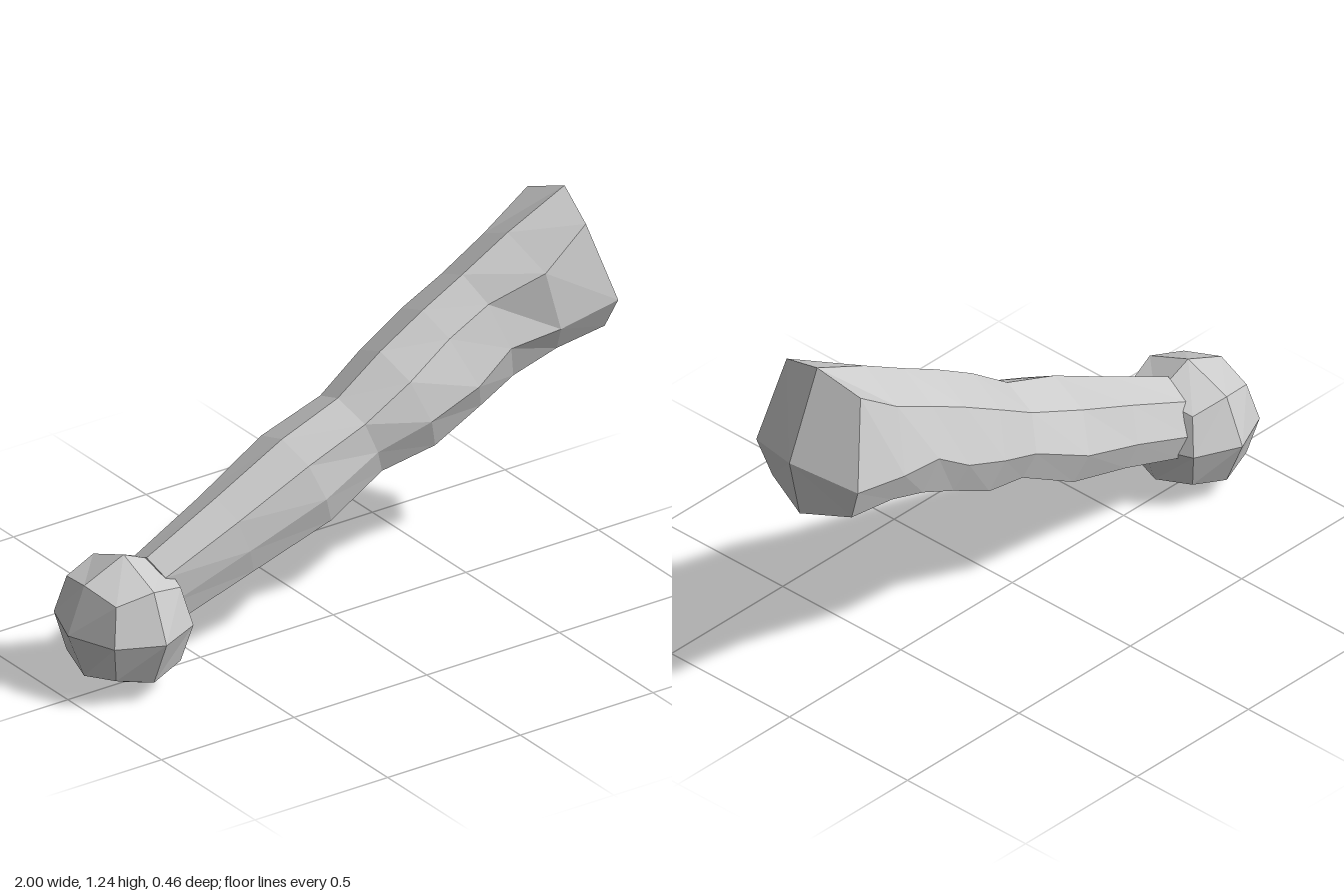
import * as THREE from 'three';

const material = new THREE.MeshStandardMaterial({ color: 0xcccccc, flatShading: true });

// Stations from grip to head:
// top x, top y, bottom x, bottom y, front width, back width, upper front width, side height fraction
const stations = [
  [-0.71, 0.41, -0.62, 0.165, 0.09, 0.13, 0.09, 0.55],
  [-0.45, 0.54, -0.36, 0.265, 0.125, 0.155, 0.11, 0.55],
  [-0.2, 0.67, -0.08, 0.365, 0.155, 0.2, 0.125, 0.55],
  [0.01, 0.75, 0.12, 0.475, 0.14, 0.17, 0.13, 0.55],
  [0.17, 0.865, 0.3, 0.515, 0.185, 0.2, 0.14, 0.55],
  [0.33, 0.96, 0.47, 0.605, 0.195, 0.21, 0.12, 0.6],
  [0.48, 1.04, 0.6, 0.66, 0.18, 0.205, 0.12, 0.54],
  [0.65, 1.135, 0.75, 0.71, 0.205, 0.22, 0.19, 0.64],
  [0.865, 1.235, 0.97, 0.755, 0.21, 0.22, 0.17, 0.69],
];

// Eight-sided cross-section, counterclockwise seen from the head end
function section([tx, ty, bx, by, front, back, upper, side], i) {
  const last = i === stations.length - 1;
  const low = last ? 0.92 : 0.86;
  const high = last ? 0.12 : 0.17;
  const at = (f, z, dx = 0) =>
    new THREE.Vector3(tx + (bx - tx) * f + dx, ty + (by - ty) * f, z);
  const inset = last ? -0.045 : 0;
  const lowWidth = 0.85 - 0.13 * (i / (stations.length - 1));
  return [
    at(0, 0.01),
    at(high, upper, inset),
    at(side, front, inset / 4),
    at(low, front * lowWidth, inset),
    at(1, -0.015),
    at(low, -back * 0.84, inset),
    at(side, -back, inset / 4),
    at(high, -back * 0.65, inset),
  ];
}

function clubGeometry() {
  const rings = stations.map(section);
  const points = [];
  const sides = 8;
  const gripEnd = new THREE.Vector3(-0.67, 0.28, 0);
  const headEnd = new THREE.Vector3(1, 0.95, 0);
  for (let j = 0; j < sides; j++) {
    const k = (j + 1) % sides;
    for (let i = 0; i < rings.length - 1; i++) {
      const a = rings[i], b = rings[i + 1];
      points.push(a[j], a[k], b[k], a[j], b[k], b[j]);
    }
    // End caps
    const first = rings[0], last = rings[rings.length - 1];
    points.push(first[k], first[j], gripEnd, last[j], last[k], headEnd);
  }
  const geometry = new THREE.BufferGeometry().setFromPoints(points);
  geometry.computeVertexNormals();
  return geometry;
}

// Subdivided cube pushed out to a sphere
function pommelGeometry() {
  const geometry = new THREE.BoxGeometry(2, 2, 2, 2, 2, 2).toNonIndexed();
  const p = geometry.attributes.position;
  const v = new THREE.Vector3();
  for (let i = 0; i < p.count; i++) {
    v.fromBufferAttribute(p, i).normalize();
    p.setXYZ(i, v.x * 0.21, v.y * 0.22, v.z * 0.23);
  }
  geometry.computeVertexNormals();
  return geometry;
}

export function createModel() {
  const model = new THREE.Group();
  model.name = 'club';

  const shaft = new THREE.Mesh(clubGeometry(), material);
  shaft.name = 'shaftAndHead';

  const pommel = new THREE.Mesh(pommelGeometry(), material);
  pommel.name = 'pommel';
  pommel.position.set(-0.79, 0.22, 0);

  model.add(shaft, pommel);
  return model;
}
